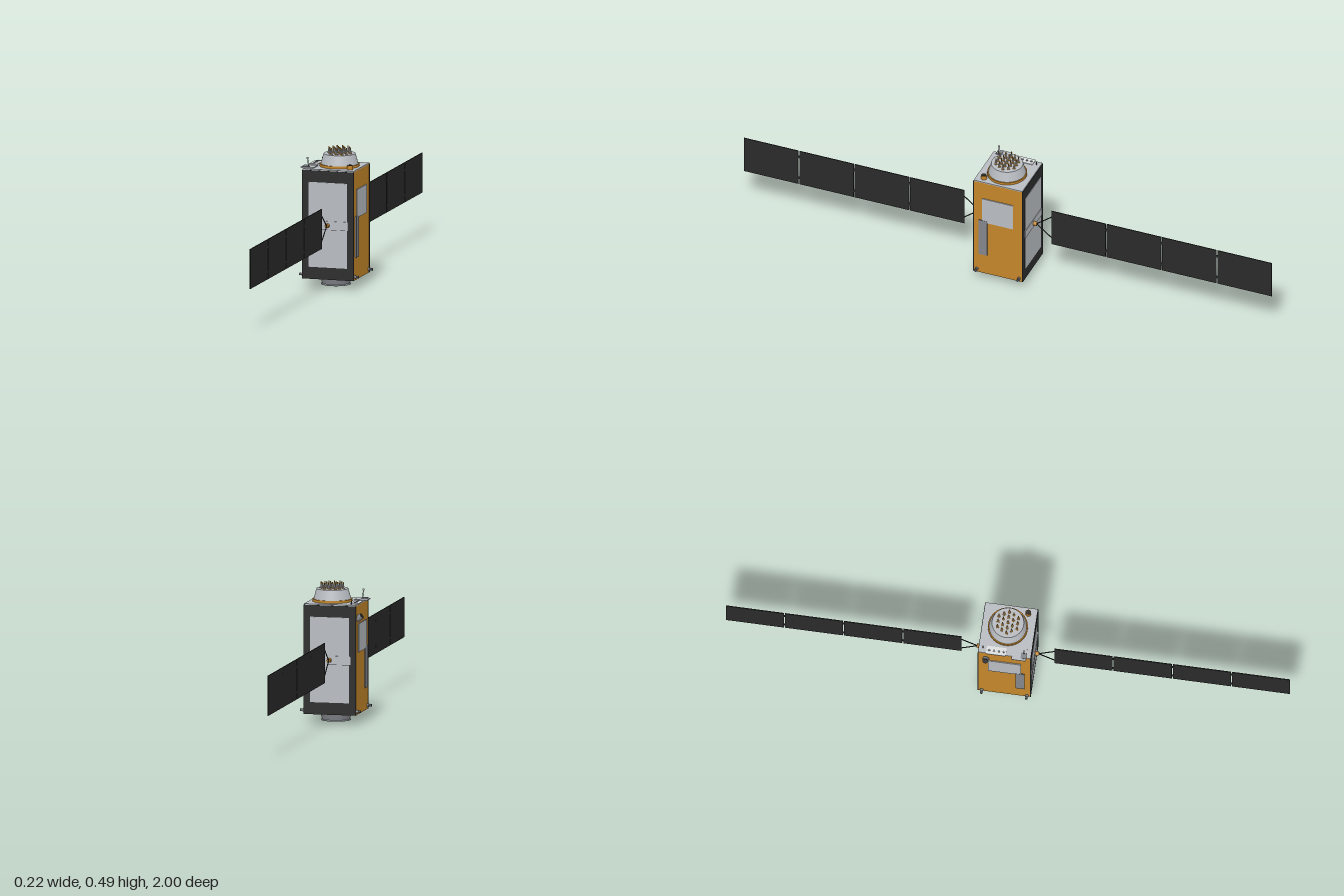
import * as THREE from 'three';

const paint = (name, color) => {
  const m = new THREE.MeshStandardMaterial({ color });
  m.name = name;
  return m;
};

export function createModel() {
  const gold = paint('gold foil', 0xc4862a);
  const black = paint('black panel', 0x2d2d2d);
  const cell = paint('solar cell', 0x2a2a2b);
  const silver = paint('silver', 0xb9bdc2);
  const grey = paint('mid grey', 0x83868c);
  const white = paint('white', 0xdcdee0);
  const steel = paint('dark steel', 0x5c5e62);
  steel.side = THREE.DoubleSide;

  const CX = 0.0025, HUB_Y = 0.228;
  const root = new THREE.Group();
  root.name = 'satellite';

  const add = (parent, name, geo, mat, x = 0, y = 0, z = 0) => {
    const m = new THREE.Mesh(geo, mat);
    m.name = name;
    m.position.set(x, y, z);
    parent.add(m);
    return m;
  };
  const box = (p, n, mat, w, h, d, x, y, z) => add(p, n, new THREE.BoxGeometry(w, h, d), mat, x, y, z);
  const cyl = (p, n, mat, rt, rb, h, x, y, z, seg = 32, open = false) =>
    add(p, n, new THREE.CylinderGeometry(rt, rb, h, seg, 1, open), mat, x, y, z);
  // Cylinder running between two points
  const rod = (p, n, mat, a, b, r, r2 = r, seg = 8) => {
    const A = new THREE.Vector3(...a), B = new THREE.Vector3(...b);
    const d = B.clone().sub(A);
    const m = add(p, n, new THREE.CylinderGeometry(r2, r, d.length(), seg), mat);
    m.position.copy(A).addScaledVector(d, 0.5);
    m.quaternion.setFromUnitVectors(new THREE.Vector3(0, 1, 0), d.normalize());
    return m;
  };
  const group = (name, x = 0, y = 0, z = 0) => {
    const g = new THREE.Group();
    g.name = name;
    g.position.set(x, y, z);
    root.add(g);
    return g;
  };

  // Foil-wrapped body and top deck
  box(root, 'body', gold, 0.187, 0.387, 0.184, CX, 0.2275, 0);
  box(root, 'topDeck', silver, 0.187, 0.004, 0.184, CX, 0.423, 0);

  // Front and back: radiator faces with solar wings (back is the front turned around)
  for (const s of [1, -1]) {
    const side = group(s > 0 ? 'frontWing' : 'backWing', CX);
    if (s < 0) side.rotation.y = Math.PI;
    box(side, 'blackFace', black, 0.189, 0.387, 0.003, 0, 0.2275, 0.0925);
    box(side, 'radiator', silver, 0.141, 0.303, 0.002, 0, 0.2285, 0.0945);
    box(side, 'crossBand', silver, 0.151, 0.03, 0.004, 0, HUB_Y, 0.0955);
    box(side, 'bandShadowGap', black, 0.151, 0.0015, 0.002, 0, HUB_Y - 0.0155, 0.0955);
    const hub = cyl(side, 'hub', gold, 0.007, 0.008, 0.016, 0, HUB_Y, 0.102, 20);
    hub.rotation.x = Math.PI / 2;
    // V-shaped yoke
    for (const v of [1, -1])
      rod(side, 'yokeArm', black, [0, HUB_Y, 0.108], [0, HUB_Y + v * 0.045, 0.166], 0.002);
    rod(side, 'yokeBar', black, [0, HUB_Y - 0.068, 0.166], [0, HUB_Y + 0.068, 0.166], 0.0018);
    // Four panels joined by hinges
    for (let i = 0; i < 4; i++) {
      const z = 0.165 + i * 0.2098;
      box(side, 'solarPanel', cell, 0.003, 0.142, 0.2056, 0, HUB_Y, z + 0.1028);
      if (i > 0) for (const v of [1, -1])
        box(side, 'hinge', black, 0.0045, 0.008, 0.008, 0, HUB_Y + v * 0.045, z - 0.0021);
    }
  }

  // Equipment plates and corner thrusters on both flanks
  for (const s of [1, -1]) {
    const flank = group(s > 0 ? 'leftFlank' : 'rightFlank', CX);
    box(flank, 'flankRadiator', silver, 0.004, 0.101, 0.117, s * 0.0948, 0.3045, 0.001);
    box(flank, 'flankStrip', grey, 0.0052, 0.147, 0.032, s * 0.0948, 0.1875, 0.056);
    for (const z of [0.08, -0.08]) {
      rod(flank, 'thrusterMount', grey, [s * 0.09, 0.047, z], [s * 0.1, 0.047, z], 0.006, 0.006, 14);
      rod(flank, 'thrusterNozzle', steel, [s * 0.1, 0.047, z], [s * 0.109, 0.047, z], 0.003, 0.005, 14);
    }
  }

  // Tilted sensor on the right flank
  const sensor = group('sensor');
  rod(sensor, 'sensorBarrel', grey, [-0.088, 0.372, -0.065], [-0.106, 0.384, -0.065], 0.011, 0.011, 24);
  rod(sensor, 'sensorLens', black, [-0.105, 0.3833, -0.065], [-0.108, 0.3853, -0.065], 0.009, 0.009, 24);

  // Antenna array: gold collar, tapered drum and hexagonal cluster of elements
  const array = group('antennaArray', 0.015, 0, -0.002);
  cyl(array, 'collar', gold, 0.07, 0.07, 0.009, 0, 0.4295, 0, 48);
  cyl(array, 'drum', silver, 0.056, 0.066, 0.036, 0, 0.452, 0, 48);
  const pitch = 0.02;
  for (let r = -2; r <= 2; r++) {
    const n = 5 - Math.abs(r);
    for (let i = 0; i < n; i++) {
      const x = (i - (n - 1) / 2) * pitch + 0.0005, z = r * pitch * 0.866;
      cyl(array, 'elementCup', gold, 0.0055, 0.0055, 0.002, x, 0.471, z, 16);
      cyl(array, 'elementStem', silver, 0.0022, 0.003, 0.013, x, 0.4785, z, 10);
      cyl(array, 'elementTip', gold, 0.002, 0.002, 0.0075, x, 0.4882, z, 10);
    }
  }

  // Small gold canister beside the drum
  cyl(root, 'canister', gold, 0.01, 0.01, 0.019, 0.074, 0.4305, 0.062, 24);
  cyl(root, 'canisterLid', black, 0.008, 0.008, 0.002, 0.074, 0.4405, 0.062, 24);

  // Bracket, whip antenna and small fittings on the deck edge
  const deck = group('deckFittings');
  box(deck, 'bracket', silver, 0.048, 0.003, 0.05, -0.08, 0.4265, 0.052);
  box(deck, 'bracketTop', grey, 0.022, 0.003, 0.02, -0.085, 0.429, 0.068);
  rod(deck, 'whip', steel, [-0.077, 0.427, 0.068], [-0.08, 0.456, 0.068], 0.0016);
  box(deck, 'whipTip', white, 0.006, 0.007, 0.006, -0.0805, 0.459, 0.068);
  box(deck, 'sensorRail', white, 0.03, 0.003, 0.07, -0.08, 0.4265, -0.03);
  for (let i = 0; i < 4; i++)
    cyl(deck, 'railStud', grey, 0.004, 0.004, 0.003, -0.08, 0.4295, -0.055 + i * 0.017, 14);
  rod(deck, 'rearPost', steel, [-0.072, 0.425, -0.078], [-0.072, 0.438, -0.078], 0.002);

  // Launch adapter and engine under the body
  const base = group('launchAdapter', CX);
  cyl(base, 'adapterCone', grey, 0.056, 0.049, 0.028, 0, 0.021, 0, 48);
  const rim = [[0.034, 0.004], [0.052, 0.004], [0.052, 0.008], [0.034, 0.008]].map(p => new THREE.Vector2(...p));
  add(base, 'adapterRim', new THREE.LatheGeometry(rim, 48), silver);
  cyl(base, 'adapterFloor', steel, 0.035, 0.035, 0.003, 0, 0.0058, 0, 40);
  cyl(base, 'engineNozzle', black, 0.016, 0.019, 0.008, 0, 0.004, 0, 28);

  return root;
}
